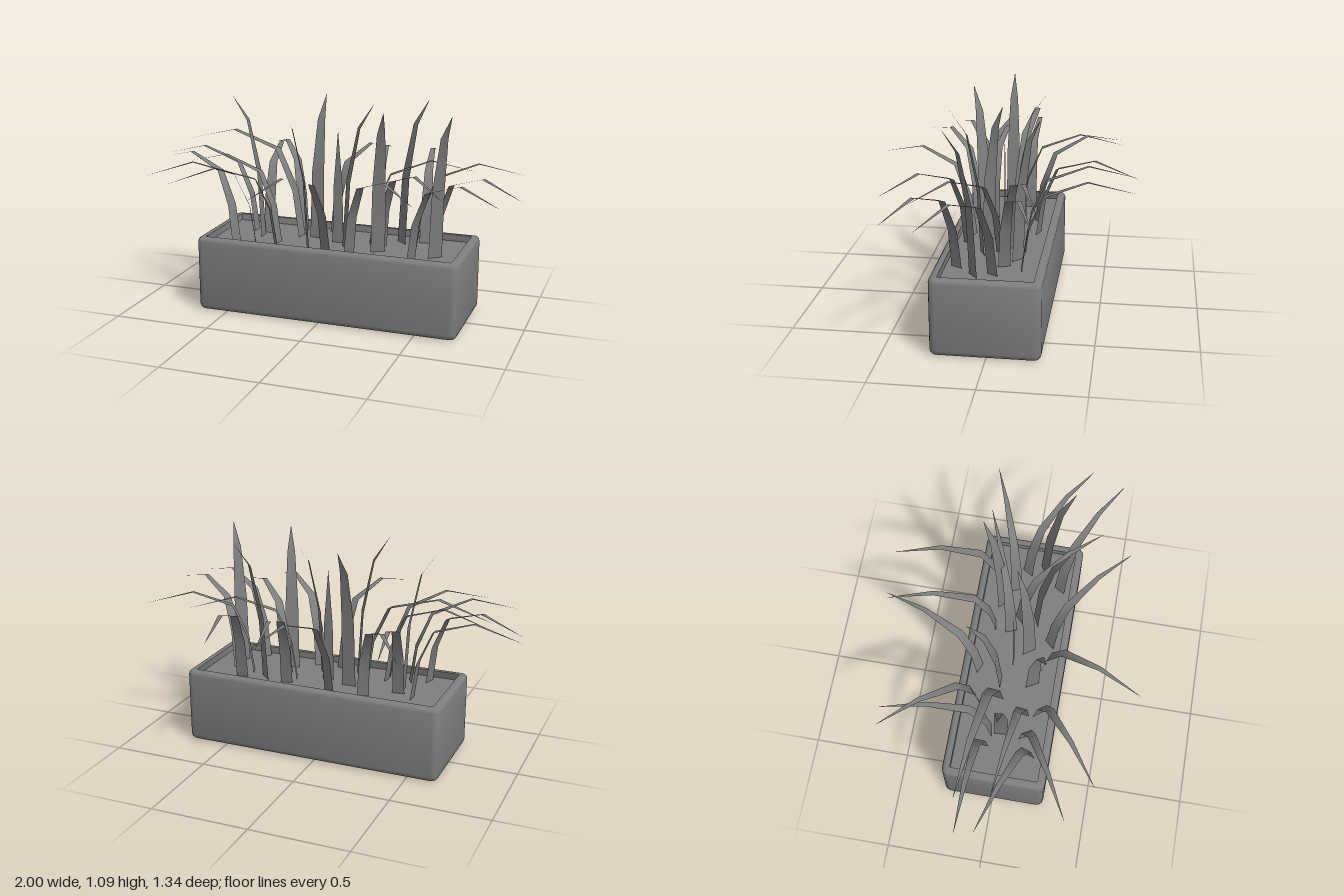
import * as THREE from 'three';
import { toCreasedNormals } from 'three/addons/utils/BufferGeometryUtils.js';

const potMat = new THREE.MeshStandardMaterial({ color: 0x7e7e7e });
const leafMat = new THREE.MeshStandardMaterial({ color: 0x7e7e7e, side: THREE.DoubleSide });

// Smooth geometry from rows of points; closed rows wrap round
function loft(rows, closed) {
  const n = rows[0].length, index = [];
  for (let j = 0; j < rows.length - 1; j++) {
    for (let i = 0; i < (closed ? n : n - 1); i++) {
      const a = j * n + i, b = j * n + (i + 1) % n;
      index.push(a, a + n, b, b, a + n, b + n);
    }
  }
  const g = new THREE.BufferGeometry();
  g.setAttribute('position', new THREE.Float32BufferAttribute(rows.flat(2), 3));
  g.setIndex(index);
  g.computeVertexNormals();
  return g;
}

// Rounded rectangle in the ground plane, at a given height and inset
const HX = 0.685, HZ = 0.266, CX = 0.028, CZ = 0.006;
function roundedRing(inset, y) {
  const r = Math.max(0.035 - inset, 0.004), pts = [];
  for (let q = 0; q < 4; q++) {
    const sx = q === 0 || q === 3 ? 1 : -1, sz = q < 2 ? 1 : -1;
    for (let k = 0; k <= 3; k++) {
      const a = (q + k / 3) * Math.PI / 2;
      pts.push([
        CX + sx * (HX - inset - r) + r * Math.cos(a), y,
        CZ + sz * (HZ - inset - r) + r * Math.sin(a),
      ]);
    }
  }
  return pts;
}

// Trough walls: rounded bottom edge, outer wall, rounded rim, inner wall
function troughGeometry() {
  const profile = [[0.2, 0]], R = 0.03, T = 0.022, H = 0.39;
  for (let k = 0; k <= 3; k++) {
    const a = k / 3 * Math.PI / 2;
    profile.push([R - R * Math.sin(a), R - R * Math.cos(a)]);
  }
  for (let k = 0; k <= 3; k++) {
    const a = k / 3 * Math.PI / 2;
    profile.push([T - T * Math.cos(a), H - T + T * Math.sin(a)]);
  }
  profile.push([0.04, H], [0.04, 0.34]);
  return toCreasedNormals(loft(profile.map(([i, y]) => roundedRing(i, y)), true), 0.9);
}

// Blade outlines: distance along the lean, height, half width
const ARCHING = [[0, 0.34, 0.031], [0.03, 0.55, 0.028], [0.105, 0.72, 0.021], [0.31, 0.79, 0.012], [0.543, 0.73, 0.0005]];
const TALL_ARCHING = [[0, 0.34, 0.035], [0.04, 0.6, 0.032], [0.14, 0.81, 0.025], [0.4, 0.89, 0.016], [0.67, 0.82, 0.0005]];
const UPRIGHT = [[0, 0.34, 0.037], [0.02, 0.7, 0.033], [0.075, 0.97, 0.02], [0.155, 1.09, 0.0005]];
const STRAIGHT = [[0, 0.34, 0.03], [0, 0.65, 0.024], [0, 0.94, 0.0005]];

// A flat tapering ribbon from a base point towards a tip point
function blade(profile, [bx, bz, tx, tz]) {
  const dir = new THREE.Vector2(tx - bx, tz - bz).normalize();
  const rows = profile.map(([d, y, w]) => [1, -1].map((s) => [
    bx + dir.x * d - s * dir.y * w, y, bz + dir.y * d + s * dir.x * w,
  ]));
  return new THREE.Mesh(loft(rows, false), leafMat);
}

// Base x, z and the x, z each blade leans towards
const archingBlades = [
  [-0.462, -0.08, -1, -0.11], [-0.475, 0.165, -1, -0.025], [-0.265, 0.10, -0.8, 0.03],
  [-0.385, 0.125, -0.84, 0.38], [-0.25, 0.175, -0.68, 0.51], [0.01, 0.16, -0.19, 0.66],
  [0.135, 0.172, 0.54, 0.51], [0.25, -0.01, 0.64, 0.36], [0.455, 0.175, 0.93, 0.43],
  [0.53, -0.01, 0.99, 0.26], [0.42, -0.05, 0.93, -0.235], [0.178, -0.04, 0.68, -0.225],
  [0.45, -0.135, 0.365, -0.67], [-0.055, -0.165, 0.135, -0.67], [0.20, -0.125, 0.11, -0.66],
  [-0.38, -0.045, -0.46, -0.58], [-0.225, -0.145, -0.555, -0.585],
];
const tallArchingBlades = [[-0.195, -0.05, -0.86, -0.135]];
const uprightBlades = [
  [-0.39, 0.008, -0.54, 0.02], [-0.10, 0.12, -0.24, 0.2], [-0.112, -0.045, -0.112, -0.2],
  [0.08, 0.075, 0.2, -0.01], [0.26, 0.08, 0.325, 0.225], [0.33, -0.105, 0.42, -0.205],
  [0.555, 0.08, 0.65, 0.2],
];
const straightBlades = [[0.02, 0, 0.02, -0.1]];

export function createModel() {
  const model = new THREE.Group();
  model.name = 'planterWithGrass';

  const trough = new THREE.Group();
  trough.name = 'trough';
  const walls = new THREE.Mesh(troughGeometry(), potMat);
  walls.name = 'troughWalls';
  const base = new THREE.Mesh(new THREE.PlaneGeometry(2 * HX - 0.4, 2 * HZ - 0.4), potMat);
  base.name = 'troughBase';
  base.rotation.x = Math.PI / 2;
  base.position.set(CX, 0, CZ);
  trough.add(walls, base);

  const soil = new THREE.Mesh(new THREE.PlaneGeometry(2 * HX - 0.08, 2 * HZ - 0.08), potMat);
  soil.name = 'soil';
  soil.rotation.x = -Math.PI / 2;
  soil.position.set(CX, 0.355, CZ);

  const grass = new THREE.Group();
  grass.name = 'grass';
  const kinds = [
    ['archingBlade', ARCHING, archingBlades],
    ['tallArchingBlade', TALL_ARCHING, tallArchingBlades],
    ['uprightBlade', UPRIGHT, uprightBlades],
    ['straightBlade', STRAIGHT, straightBlades],
  ];
  for (const [name, profile, list] of kinds) {
    list.forEach((ends, i) => {
      const leaf = blade(profile, ends);
      leaf.name = name + (i + 1);
      grass.add(leaf);
    });
  }

  model.add(trough, soil, grass);
  return model;
}
